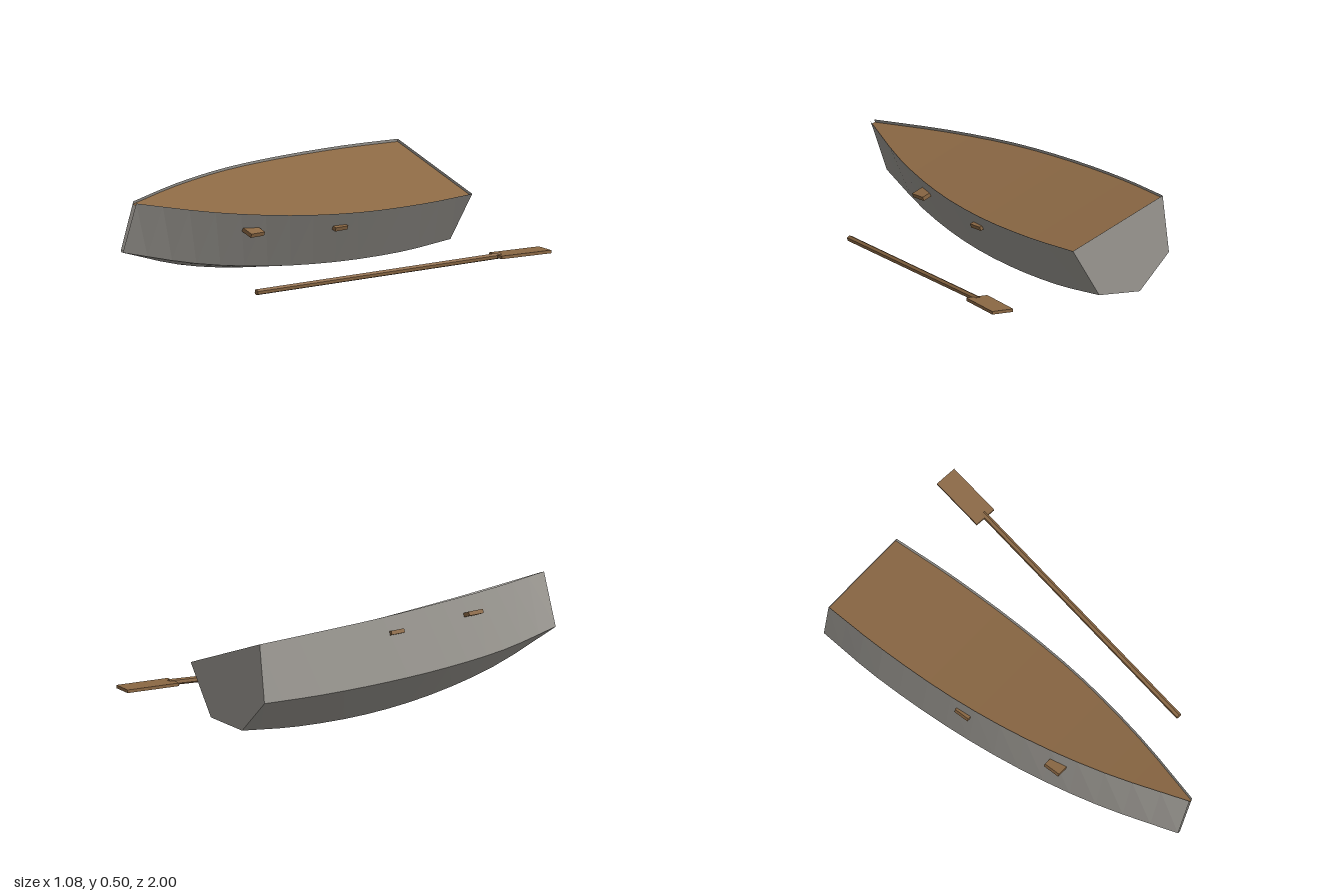
import * as THREE from 'three';

const hullGrey = new THREE.MeshStandardMaterial({ color: 0x9a9791, flatShading: true, side: THREE.DoubleSide });
hullGrey.name = 'hull grey';
const wood = new THREE.MeshStandardMaterial({ color: 0x8b6844, flatShading: true, side: THREE.DoubleSide });
wood.name = 'wood brown';

// Boat lines from stern to bow: z, sheer half width and height, chine half width and height, keel height
const STATIONS = [
  [-0.935, 0.277, -0.004, 0.215, -0.28, -0.377],
  [-0.6, 0.294, 0, 0.232, -0.293, -0.409],
  [-0.2, 0.286, 0.008, 0.222, -0.293, -0.415],
  [0.2, 0.24, 0.026, 0.183, -0.278, -0.383],
  [0.6, 0.147, 0.05, 0.11, -0.245, -0.309],
  [1, 0.011, 0.083, 0.008, -0.183, -0.185],
];
const SEGMENTS = 15;

// Smooth line through the stations
function line(pick) {
  const points = STATIONS.map((s) => new THREE.Vector3(...pick(s), s[0]));
  return new THREE.CatmullRomCurve3(points, false, 'catmullrom').getPoints(SEGMENTS);
}

// Surface joining lines that run from stern to bow
function loft(lines) {
  const pos = [];
  const index = [];
  for (const l of lines) for (const p of l) pos.push(p.x, p.y, p.z);
  const n = SEGMENTS + 1;
  for (let j = 0; j < lines.length - 1; j++) {
    for (let i = 0; i < SEGMENTS; i++) {
      const a = j * n + i;
      const b = a + n;
      index.push(a, a + 1, b, a + 1, b + 1, b);
    }
  }
  return surface(pos, index);
}

function surface(pos, index) {
  const indexed = new THREE.BufferGeometry();
  indexed.setAttribute('position', new THREE.Float32BufferAttribute(pos, 3));
  indexed.setIndex(index);
  const g = indexed.toNonIndexed();
  g.computeVertexNormals();
  return g;
}

function add(parent, name, geometry, material) {
  const mesh = new THREE.Mesh(geometry, material);
  mesh.name = name;
  parent.add(mesh);
  return mesh;
}

function createBoat() {
  const boat = new THREE.Group();
  boat.name = 'boat';

  // Sides and V bottom, left open as a narrow slit at the bow
  const lines = [
    line((s) => [s[1], s[2]]),
    line((s) => [s[3], s[4]]),
    line((s) => [0, s[5]]),
    line((s) => [-s[3], s[4]]),
    line((s) => [-s[1], s[2]]),
  ];
  add(boat, 'hull', loft(lines), hullGrey);

  // Flat stern
  const rim = lines.flatMap((l) => l[0].toArray());
  add(boat, 'transom', surface(rim, [0, 1, 2, 0, 2, 3, 0, 3, 4]), hullGrey);

  // Deck sheet just below the rim
  const deckEdge = (side) => line((s) => [side * (s[1] - 0.003), s[2] - 0.013]);
  add(boat, 'deck', loft([deckEdge(-1), deckEdge(1)]), wood);

  // Cross benches whose ends pass through the sides
  for (const [name, width, depth, y, z] of [
    ['frontBench', 0.484, 0.085, -0.052, 0.382],
    ['rearBench', 0.562, 0.078, -0.071, -0.123],
  ]) {
    add(boat, name, new THREE.BoxGeometry(width, 0.02, depth), wood).position.set(0, y, z);
  }

  // Heeled over to one side
  boat.rotation.z = -THREE.MathUtils.degToRad(20);
  boat.position.set(-0.2225, 0.39, 0);
  return boat;
}

function createOar() {
  const oar = new THREE.Group();
  oar.name = 'oar';

  // Six-sided shaft
  const start = new THREE.Vector3(0.222, 0.046, 0.605);
  const end = new THREE.Vector3(0.447, 0.08, -0.74);
  const dir = end.clone().sub(start);
  const shaft = add(oar, 'shaft', new THREE.CylinderGeometry(0.015, 0.015, dir.length(), 6), wood);
  shaft.position.copy(start).add(end).multiplyScalar(0.5);
  shaft.quaternion.setFromUnitVectors(new THREE.Vector3(0, 1, 0), dir.normalize());

  // Flat blade
  const blade = add(oar, 'blade', new THREE.BoxGeometry(0.11, 0.015, 0.277), wood);
  blade.position.set(0.461, 0.08, -0.855);
  blade.rotation.y = -0.167;
  return oar;
}

export function createModel() {
  const model = new THREE.Group();
  model.name = 'rowingBoatAndOar';
  model.add(createBoat(), createOar());
  return model;
}
